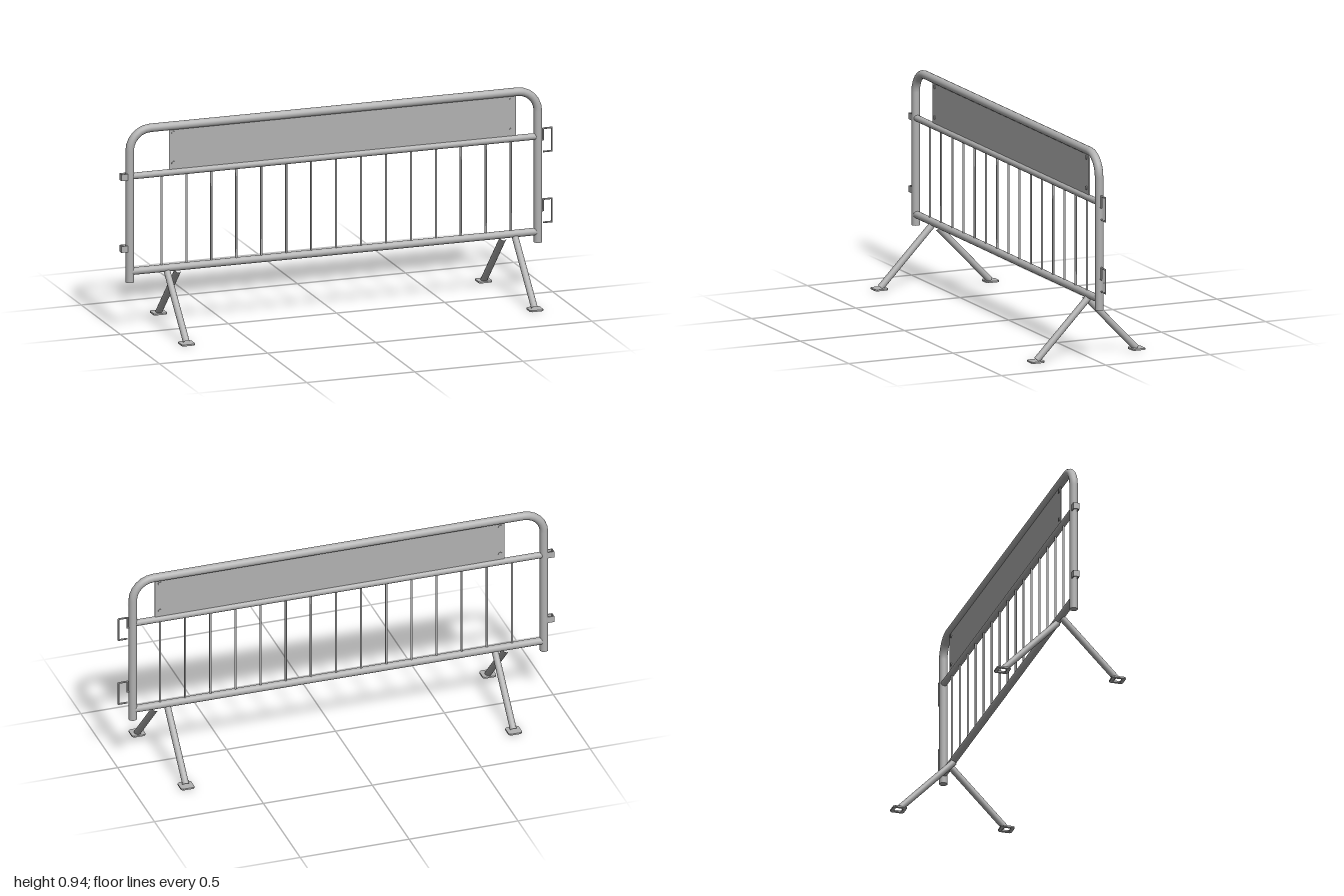
import * as THREE from 'three';

const steel = new THREE.MeshStandardMaterial({ color: 0xb2b2b2 });
steel.name = 'galvanised steel';

function add(parent, name, geometry, x = 0, y = 0, z = 0) {
  const mesh = new THREE.Mesh(geometry, steel);
  mesh.name = name;
  mesh.position.set(x, y, z);
  parent.add(mesh);
  return mesh;
}

// Straight round bar between two points
function rod(parent, name, a, b, radius, sides = 16, open = false) {
  const p = new THREE.Vector3(...a), q = new THREE.Vector3(...b);
  const dir = q.clone().sub(p);
  const mesh = add(parent, name, new THREE.CylinderGeometry(radius, radius, dir.length(), sides, 1, open));
  mesh.position.copy(p).add(q).multiplyScalar(0.5);
  mesh.quaternion.setFromUnitVectors(new THREE.Vector3(0, 1, 0), dir.normalize());
  return mesh;
}

// Square with cut corners
function cutSquare(PathType, half, cut) {
  const c = half - cut;
  const pts = [[c, -half], [half, -c], [half, c], [c, half], [-c, half], [-half, c], [-half, -c], [-c, -half]];
  return new PathType(pts.map(([x, y]) => new THREE.Vector2(x, y)));
}

export function createModel() {
  const model = new THREE.Group();
  model.name = 'crowdBarrier';
  const left = 0.931, right = -0.957, top = 0.918, bend = 0.095, tube = 0.0185;

  // Bent outer frame
  const frame = new THREE.Group();
  frame.name = 'frame';
  model.add(frame);
  rod(frame, 'topTube', [right + bend, top, 0], [left - bend, top, 0], tube, 16, true);
  for (const x of [right, left]) {
    const s = Math.sign(x);
    rod(frame, 'post', [x, 0.23, 0], [x, top - bend, 0], tube);
    const corner = add(frame, 'cornerBend', new THREE.TorusGeometry(bend, tube, 16, 6, Math.PI / 2),
      x - s * bend, top - bend, 0);
    if (s < 0) corner.rotation.y = Math.PI;
  }

  // Horizontal rails and thin upright bars
  rod(model, 'middleRail', [right, 0.708, 0], [left, 0.708, 0], 0.0145);
  rod(model, 'bottomRail', [right, 0.278, 0], [left, 0.278, 0], 0.0165);
  for (let i = 0; i < 15; i++) {
    const x = -0.81 + i * 0.1154;
    rod(model, 'uprightBar', [x, 0.278, 0], [x, 0.708, 0], 0.005, 8);
  }

  // Sign panel with a bolt in each corner
  add(model, 'panel', new THREE.BoxGeometry(1.604, 0.2, 0.006), 0.027, 0.812, 0);
  for (const x of [-0.755, 0.807]) {
    for (const y of [0.749, 0.885]) rod(model, 'bolt', [x, y, -0.006], [x, y, 0.006], 0.009, 12);
  }

  // Sloping legs with hollow foot plates
  const plate = cutSquare(THREE.Shape, 0.031, 0.008);
  const rim = cutSquare(THREE.Shape, 0.031, 0.008);
  rim.holes.push(cutSquare(THREE.Path, 0.017, 0.003));
  const rimGeometry = new THREE.ExtrudeGeometry(rim, { depth: 0.007, bevelEnabled: false }).rotateX(-Math.PI / 2);
  const plateGeometry = new THREE.ShapeGeometry(plate).rotateX(-Math.PI / 2);
  for (const [x, s] of [[-0.785, 1], [-0.732, -1], [0.825, 1], [0.772, -1]]) {
    rod(model, 'leg', [x, 0.264, s * 0.002], [x, 0.008, s * 0.25], 0.0148, 14, true);
    add(model, 'footRim', rimGeometry, x, 0, s * 0.254);
    add(model, 'footPlate', plateGeometry, x, 0.0075, s * 0.254);
  }

  // Coupling hooks on one post
  for (const y of [0.69, 0.37]) {
    const hook = new THREE.Group();
    hook.name = 'hook';
    hook.position.y = y;
    model.add(hook);
    const path = [[0.935, 0.0], [0.955, 0.0], [0.955, 0.051], [0.996, 0.051], [0.996, -0.054], [0.956, -0.054]];
    for (let i = 0; i + 1 < path.length; i++) {
      rod(hook, 'hookRod', [...path[i], 0], [...path[i + 1], 0], 0.004, 8);
      if (i > 0) add(hook, 'hookBend', new THREE.SphereGeometry(0.004, 8, 6), ...path[i], 0);
    }
  }

  // Coupling loops of flat strap on the other post
  for (const y of [0.708, 0.384]) {
    const loop = new THREE.Group();
    loop.name = 'couplingLoop';
    loop.position.y = y;
    model.add(loop);
    add(loop, 'loopEnd', new THREE.BoxGeometry(0.004, 0.029, 0.028), -0.998, 0, 0);
    for (const z of [-0.012, 0.012]) {
      add(loop, 'loopSide', new THREE.BoxGeometry(0.036, 0.029, 0.004), -0.98, 0, z);
    }
  }
  return model;
}
